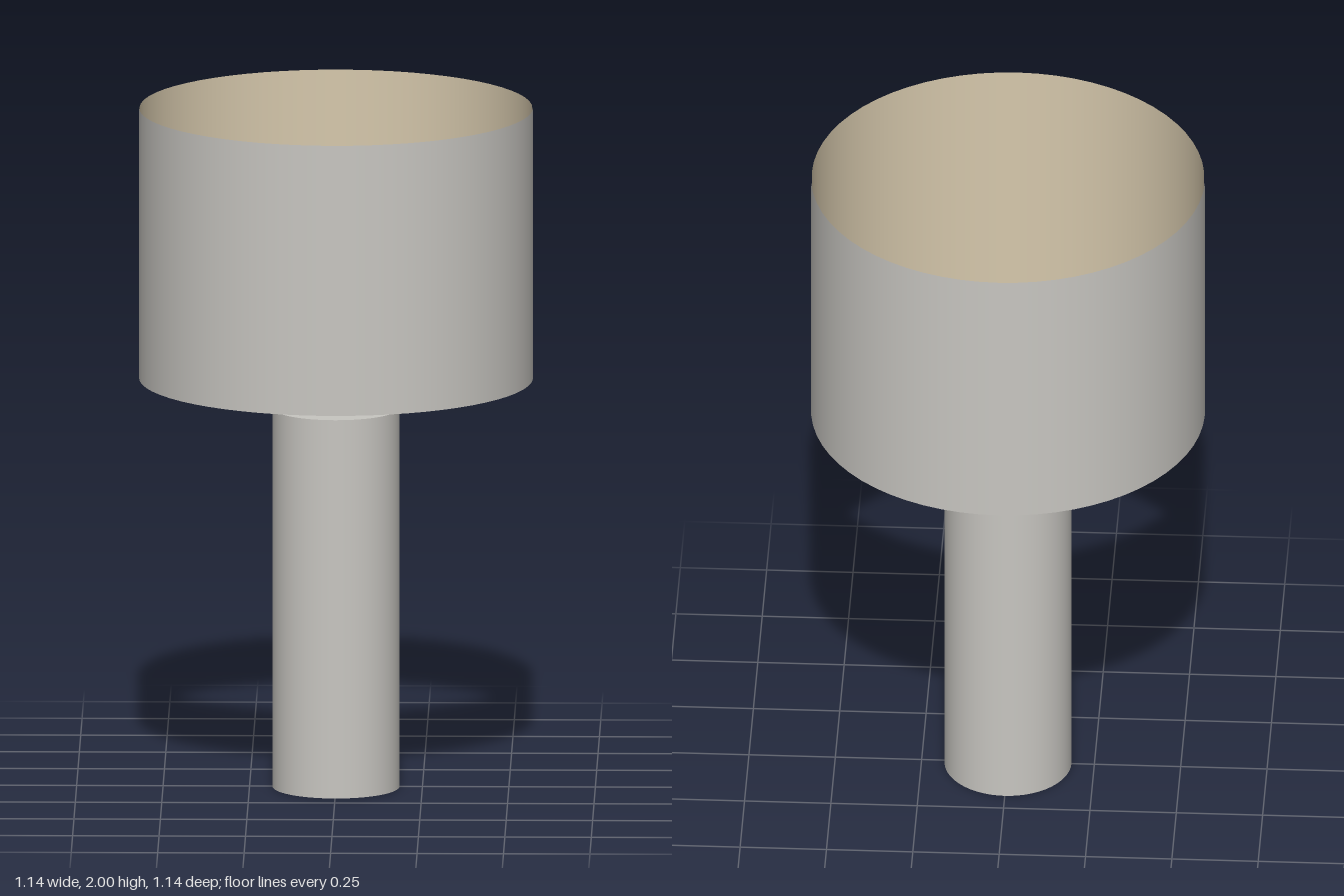
import * as THREE from 'three';

export function createModel() {
  const grey = new THREE.MeshStandardMaterial({ color: 0xc8c6c1 });
  grey.name = 'warm grey';
  const tan = new THREE.MeshStandardMaterial({ color: 0xd6c8ac });
  tan.name = 'pale tan';

  const lamp = new THREE.Group();
  lamp.name = 'tableLamp';

  // Upright cylinder spanning y0 to y1
  function cylinder(name, radius, y0, y1, material, open = false) {
    const geometry = new THREE.CylinderGeometry(radius, radius, y1 - y0, 64, 1, open);
    const mesh = new THREE.Mesh(geometry, material);
    mesh.name = name;
    mesh.position.y = (y0 + y1) / 2;
    lamp.add(mesh);
    return mesh;
  }

  // Solid column and the thin rod on top of it
  cylinder('base', 0.184, 0, 1.115, grey);
  cylinder('rod', 0.02, 1.115, 1.255, tan);

  // Open drum shade: outer skin and inward-facing lining
  cylinder('shadeOuter', 0.57, 1.204, 2, grey, true);
  const lining = cylinder('shadeLining', 0.568, 1.204, 2, tan, true);
  const index = lining.geometry.index;
  for (let i = 0; i < index.count; i += 3) {
    const a = index.getX(i);
    index.setX(i, index.getX(i + 1));
    index.setX(i + 1, a);
  }
  const normal = lining.geometry.attributes.normal;
  for (let i = 0; i < normal.count; i++) {
    normal.setXYZ(i, -normal.getX(i), 0, -normal.getZ(i));
  }

  return lamp;
}
